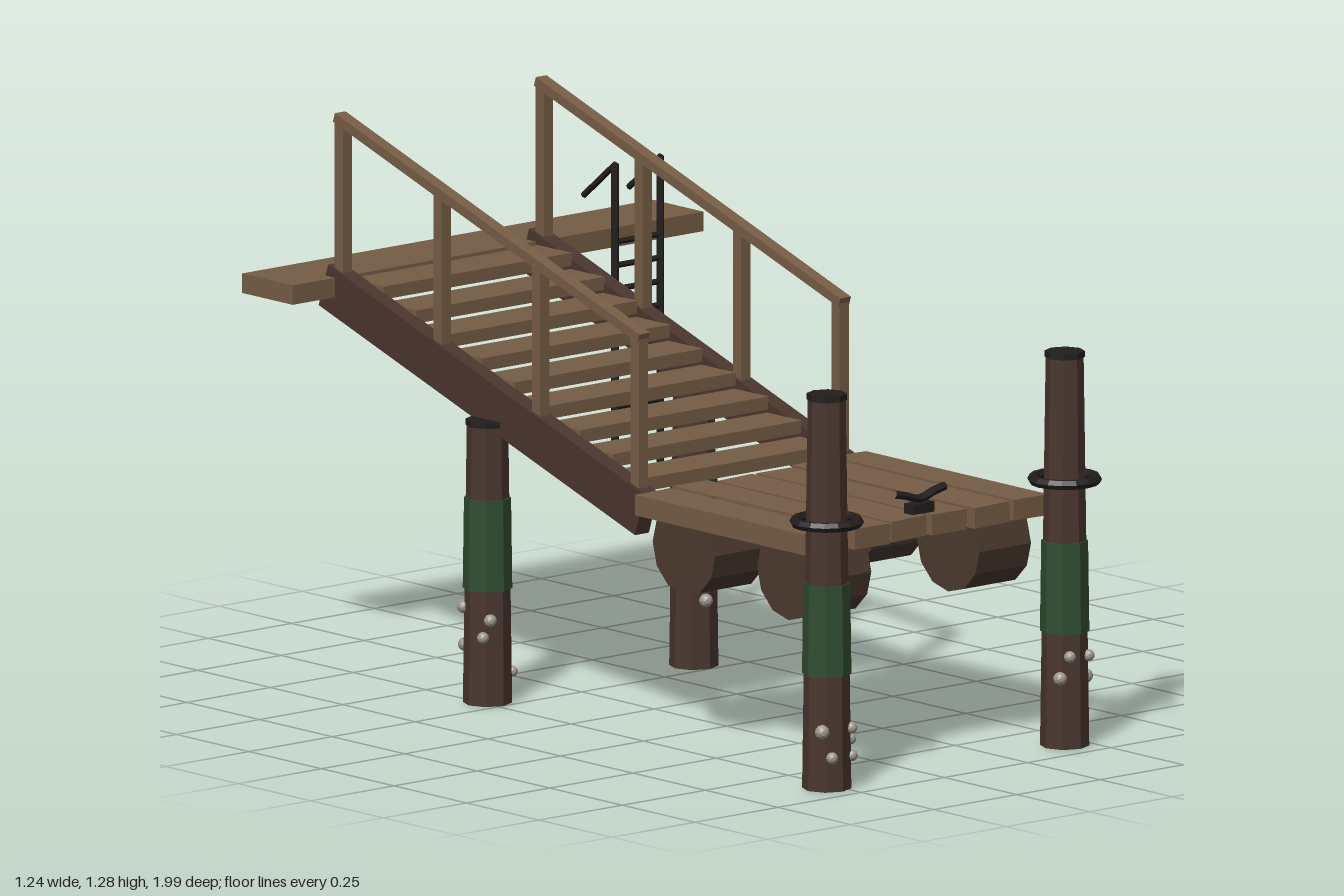
import * as THREE from 'three';

export function createModel() {
  const root = new THREE.Group();
  root.name = 'floatingDock';
  const mat = (name, color, flatShading = true) => {
    const m = new THREE.MeshStandardMaterial({ color, flatShading });
    m.name = name;
    return m;
  };
  const wood = mat('plankWood', 0x765d45);
  const darkWood = mat('darkTimber', 0x4a362e);
  const float = mat('floatBrown', 0x4b392f);
  const algae = mat('algaeGreen', 0x304d31);
  const shell = mat('barnacleGrey', 0x9c978c);
  const iron = mat('blackIron', 0x221e1e);

  const add = (name, geo, material, x = 0, y = 0, z = 0, parent = root) => {
    const m = new THREE.Mesh(geo, material);
    m.name = name;
    m.position.set(x, y, z);
    parent.add(m);
    return m;
  };
  const box = (name, w, h, d, material, x, y, z, parent) =>
    add(name, new THREE.BoxGeometry(w, h, d), material, x, y, z, parent);
  const MID = -0.17; // centre line of deck and ramp

  // Upper landing
  box('landing', 1.235, 0.045, 0.175, wood, 0, 0.878, -0.912);

  // Floating deck: six planks of slightly different length and tilt
  const planks = [
    [-0.473, 0.25, 0.86, 0.01], [-0.348, 0.235, 0.865, -0.015], [-0.23, 0.255, 0.855, 0.02],
    [-0.113, 0.255, 0.86, -0.01], [0.012, 0.235, 0.865, 0.02], [0.133, 0.23, 0.86, -0.015],
  ];
  for (const [x, z0, z1, tilt] of planks) {
    box('deckPlank', 0.105, 0.048, z1 - z0, wood, x, 0.55, (z0 + z1) / 2).rotation.z = tilt;
  }

  // Barrel floats under the deck
  for (const x of [MID - 0.24, MID + 0.24]) for (const z of [0.375, 0.735]) {
    const f = add('float', new THREE.CylinderGeometry(0.108, 0.108, 0.155, 12), float, x, 0.463, z);
    f.rotation.z = Math.PI / 2;
  }

  // Mooring cleat
  const cleat = new THREE.Group();
  cleat.name = 'cleat';
  cleat.position.set(MID, 0.574, 0.822);
  root.add(cleat);
  box('cleatBase', 0.065, 0.024, 0.03, iron, 0, 0.012, 0, cleat);
  const horn = new THREE.CatmullRomCurve3([[-0.076, 0.052], [-0.04, 0.044], [0, 0.032], [0.04, 0.044], [0.076, 0.052]]
    .map(([x, y]) => new THREE.Vector3(x, y, 0)));
  add('cleatHorns', new THREE.TubeGeometry(horn, 8, 0.01, 6), iron, 0, 0, 0, cleat);

  // Ramp stringers and treads
  const slope = 0.33, angle = Math.atan(slope);
  for (const side of [-1, 1]) {
    const x = MID + 0.003 + side * 0.302;
    box('stringer', 0.042, 0.104, 1.148, darkWood, x, 0.698, -0.32).rotation.x = angle;

    // Handrail: four posts and a sloping rail
    for (let i = 0; i < 4; i++) {
      const z = 0.2 - i * 0.34;
      const foot = 0.56 + (0.235 - z) * slope, top = 0.928 + (0.2 - z) * slope;
      box('railPost', 0.028, top - foot, 0.028, wood, x, (foot + top) / 2, z);
    }
    box('handrail', 0.032, 0.022, 1.105, wood, x, 0.928 + 0.51 * slope, -0.31).rotation.x = angle;
  }
  for (let i = 0; i < 9; i++) {
    box('tread', 0.566, 0.03, 0.116, wood, MID + 0.003, 0.579 + i * 0.0375, 0.143 - i * 0.113);
  }

  // Piles with weed band, end cap and barnacles (angle, height, size)
  const pile = (name, x, z, height, rTop, shells, ring) => {
    const g = new THREE.Group();
    g.name = name;
    g.position.set(x, 0, z);
    root.add(g);
    const rad = (y) => 0.056 + (rTop - 0.056) * y / height;
    add('pileShaft', new THREE.CylinderGeometry(rTop, 0.056, height, 8), darkWood, 0, height / 2, 0, g);
    add('pileCap', new THREE.CylinderGeometry(rTop + 0.003, rTop + 0.003, 0.014, 8), iron, 0, height - 0.006, 0, g);
    add('weedBand', new THREE.CylinderGeometry(rad(0.475) + 0.004, rad(0.265) + 0.004, 0.21, 8),
      algae, 0, 0.37, 0, g);
    for (const [a, y, s] of shells) {
      const r = rad(y) + 0.002;
      add('barnacle', new THREE.IcosahedronGeometry(s, 1), shell, Math.sin(a) * r, y, Math.cos(a) * r, g);
    }
    if (ring) {
      add('mooringRing', new THREE.TorusGeometry(0.073, 0.012, 6, 16), iron, 0, 0.617, 0, g).rotation.x = Math.PI / 2;
    }
  };
  pile('frontPileRight', -0.525, 0.91, 0.912, 0.043,
    [[-0.9, 0.14, 0.017], [-0.5, 0.08, 0.014], [0.8, 0.14, 0.014], [1.2, 0.11, 0.014], [0.9, 0.075, 0.014]], true);
  pile('frontPileLeft', 0.19, 0.91, 0.912, 0.043,
    [[-0.5, 0.215, 0.014], [0.7, 0.21, 0.014], [-0.9, 0.165, 0.016], [1.4, 0.155, 0.017], [1.6, 0.07, 0.013]], true);
  pile('rearPileRight', -0.485, -0.305, 0.655, 0.047,
    [[-2.4, 0.22, 0.015], [-2.7, 0.13, 0.016], [-0.6, 0.2, 0.015], [-0.9, 0.16, 0.014], [1, 0.07, 0.013]]);
  pile('rearPileLeft', 0.135, -0.305, 0.655, 0.047,
    [[2.6, 0.21, 0.015], [2.2, 0.13, 0.014], [-0.5, 0.205, 0.015], [-0.2, 0.16, 0.016], [2.8, 0.09, 0.014]]);

  // Ladder with hooked rails
  const ladder = new THREE.Group();
  ladder.name = 'ladder';
  ladder.position.set(0.382, 0, -0.782);
  root.add(ladder);
  for (const x of [-0.068, 0.068]) {
    add('ladderRail', new THREE.CylinderGeometry(0.009, 0.009, 0.72, 6), iron, x, 0.7, 0, ladder);
    const hook = add('ladderHook', new THREE.CylinderGeometry(0.008, 0.008, 0.14, 6), iron, x, 1.015, -0.053, ladder);
    hook.rotation.x = Math.atan2(0.106, 0.086);
  }
  for (let i = 0; i < 10; i++) {
    add('rung', new THREE.CylinderGeometry(0.007, 0.007, 0.136, 6), iron, 0, 0.387 + i * 0.0547, 0, ladder)
      .rotation.z = Math.PI / 2;
  }
  return root;
}
